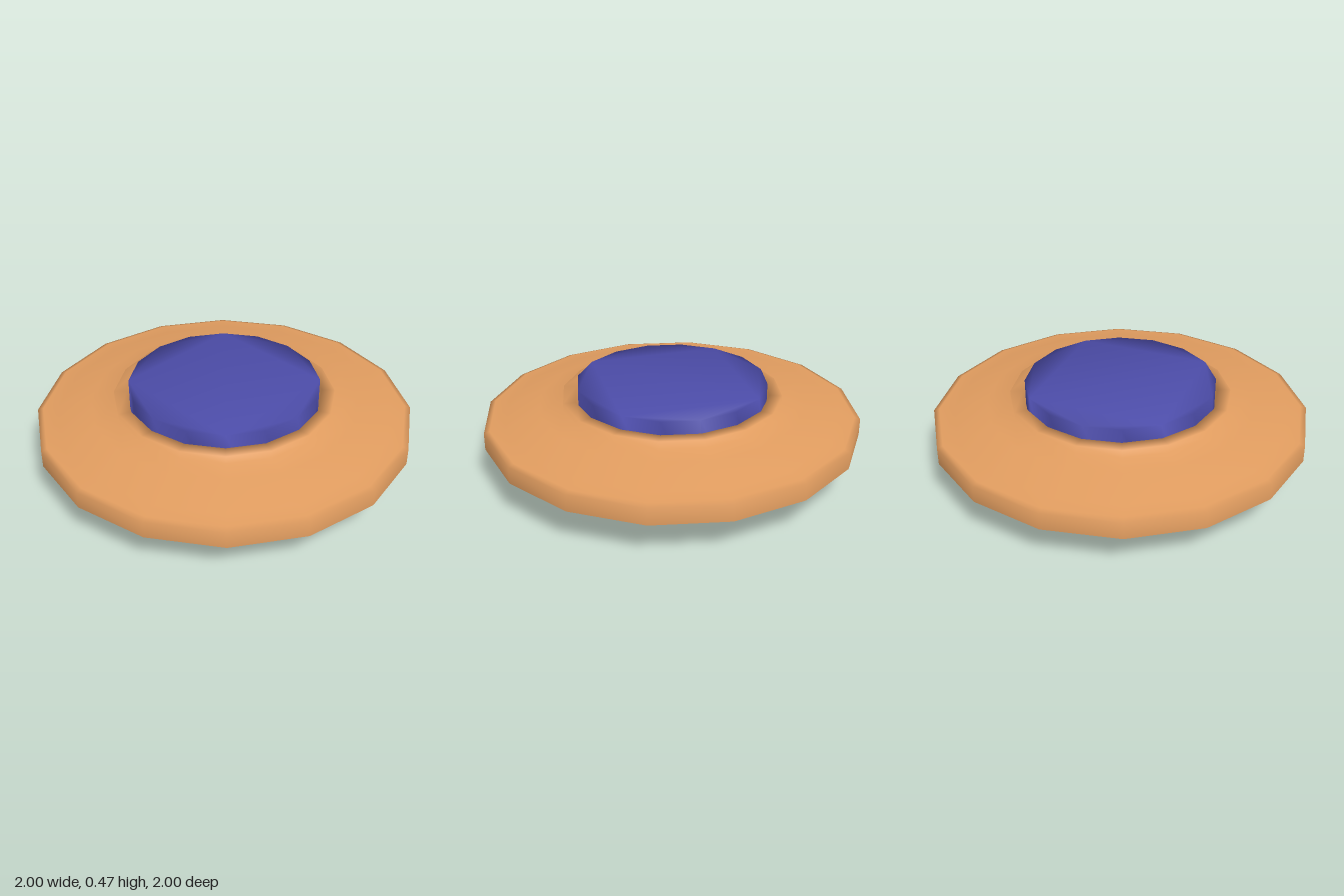
import * as THREE from 'three';
import { mergeVertices } from 'three/addons/utils/BufferGeometryUtils.js';

const SIDES = 16;

// Weld shared corners so the shading runs softly around the edges
function weld(geometry) {
  geometry.deleteAttribute('normal');
  geometry.deleteAttribute('uv');
  const welded = mergeVertices(geometry, 1e-4);
  welded.computeVertexNormals();
  return welded;
}

export function createModel() {
  const model = new THREE.Group();
  model.name = 'flangedPlug';

  const orange = new THREE.MeshStandardMaterial({ color: 0xe09c5f, side: THREE.DoubleSide });
  orange.name = 'orange';
  const blue = new THREE.MeshStandardMaterial({ color: 0x4c4ca8 });
  blue.name = 'blue';

  // Open shell: skirt, bevelled rim, sloped top, collar and inner sleeve
  const profile = [
    [1, 0.2], [1, 0.29], [0.97, 0.3], [0.89, 0.305], [0.71, 0.36], [0.585, 0.362],
    [0.585, 0.405], [0.518, 0.405], [0.518, 0.2],
  ].map(([r, y]) => new THREE.Vector2(r, y));
  const flange = new THREE.Mesh(weld(new THREE.LatheGeometry(profile, SIDES)), orange);
  flange.name = 'flange';
  model.add(flange);

  // Solid core passing through the sleeve
  const corners = Array.from({ length: SIDES }, (_, i) => {
    const a = (i / SIDES) * Math.PI * 2;
    return new THREE.Vector2(0.505 * Math.cos(a), 0.505 * Math.sin(a));
  });
  const coreGeometry = new THREE.ExtrudeGeometry(new THREE.Shape(corners), {
    depth: 0.47, bevelEnabled: false,
  });
  coreGeometry.rotateX(-Math.PI / 2);
  const core = new THREE.Mesh(weld(coreGeometry), blue);
  core.name = 'core';
  model.add(core);

  return model;
}
